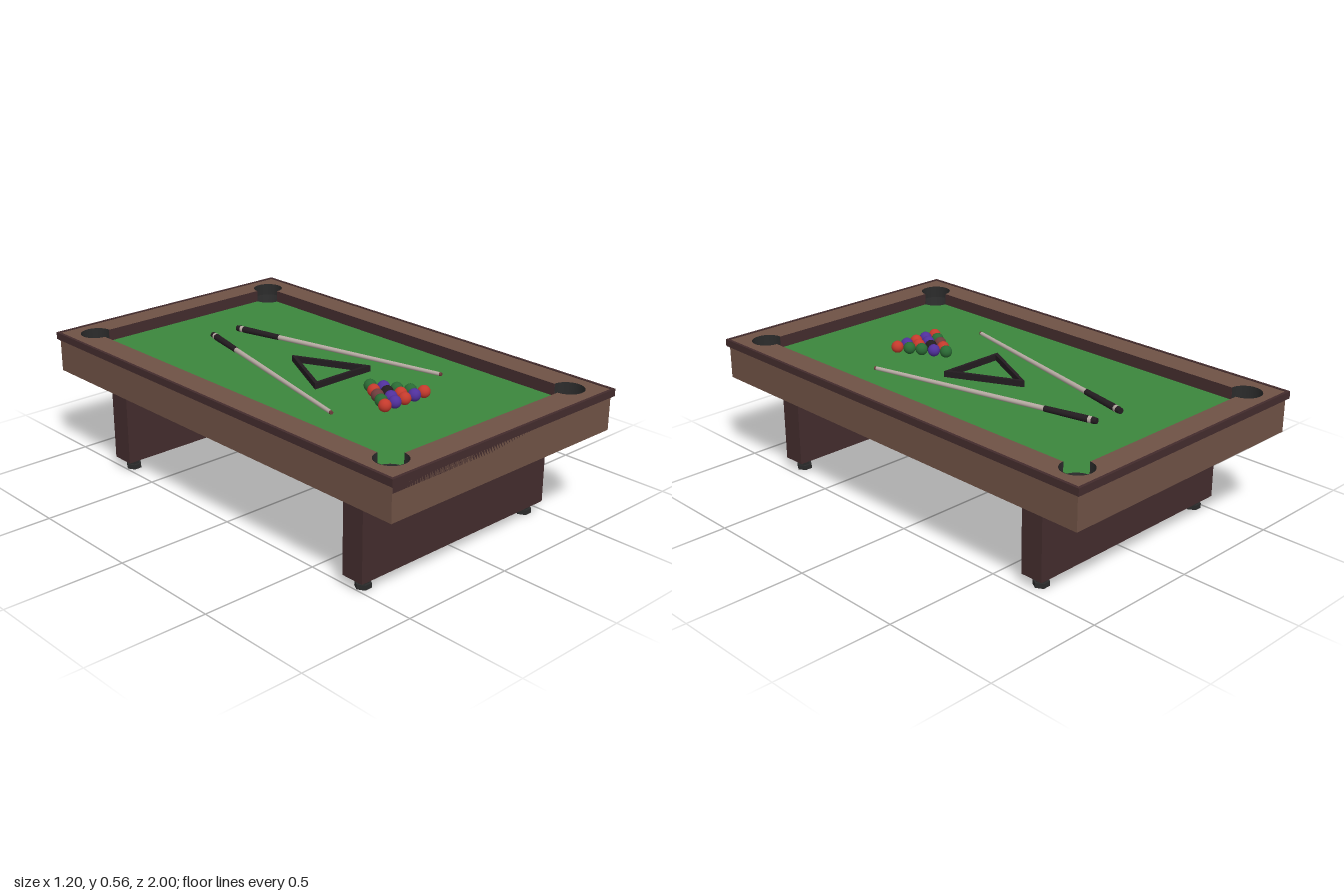
import * as THREE from 'three';

const mat = (name, color, side = THREE.FrontSide) => {
  const m = new THREE.MeshStandardMaterial({ color, side });
  m.name = name;
  return m;
};

export function createModel() {
  const root = new THREE.Group();
  root.name = 'poolTable';

  const brown = mat('brown wood', 0x6f5245);
  const dark = mat('dark wood', 0x432c2d);
  const felt = mat('green felt', 0x3c863d);
  const charcoal = mat('charcoal', 0x2b2b2b, THREE.DoubleSide);
  const black = mat('black', 0x231c20);
  const shaftMat = mat('pale shaft', 0xb5a9a1);
  const red = mat('red ball', 0xc43a2c);
  const purple = mat('purple ball', 0x50309c);
  const green = mat('green ball', 0x2a6a34);
  const maroon = mat('maroon ball', 0x6e3c3c);

  const add = (name, geo, material, x = 0, y = 0, z = 0, parent = root) => {
    const m = new THREE.Mesh(geo, material);
    m.name = name;
    m.position.set(x, y, z);
    parent.add(m);
    return m;
  };
  const rect = (Type, hx, hz) => new Type([[-hx, -hz], [hx, -hz], [hx, hz], [-hx, hz]]
    .map(([x, y]) => new THREE.Vector2(x, y)));
  // Extrudes a plan shape (shape y points to -z) upwards
  const slab = (shape, depth) => new THREE.ExtrudeGeometry(shape,
    { depth, bevelEnabled: false, curveSegments: 24 }).rotateX(-Math.PI / 2);

  const FELT_Y = 0.507, RAIL_Y = 0.557, R = 0.064;
  // Pocket centres in plan, counter-clockwise
  const pockets = [[0.478, 0.883], [-0.478, 0.883], [-0.478, -0.872], [0.478, -0.872]];

  // Apron and underside
  const apron = rect(THREE.Shape, 0.59, 0.988);
  apron.holes.push(rect(THREE.Path, 0.57, 0.968));
  add('apron', slab(apron, 0.14), brown, 0, 0.39, 0);
  add('underside', new THREE.BoxGeometry(1.16, 0.04, 1.95), brown, 0, 0.411, 0);

  // Rails: brown top, dark cushion face, round notches at the corners
  const rail = rect(THREE.Shape, 0.588, 0.988);
  const opening = new THREE.Path();
  pockets.forEach(([x, y], k) => {
    const start = (k - 1) * Math.PI / 2;
    opening.absarc(x, y, R + 0.001, start, start + 1.5 * Math.PI, false);
  });
  opening.closePath();
  rail.holes.push(opening);
  add('rails', slab(rail, RAIL_Y - 0.5), [brown, dark], 0, 0.5, 0);

  // Dark outer trim
  const trim = rect(THREE.Shape, 0.6, 1);
  trim.holes.push(rect(THREE.Path, 0.588, 0.988));
  add('outerTrim', slab(trim, 0.03), dark, 0, 0.53, 0);

  // Playing surface with pocket holes
  const bed = rect(THREE.Shape, 0.575, 0.975);
  pockets.forEach(([x, y]) => bed.holes.push(new THREE.Path().absarc(x, y, R, 0, Math.PI * 2, true)));
  add('playingSurface', new THREE.ShapeGeometry(bed, 24).rotateX(-Math.PI / 2), felt, 0, FELT_Y, 0);

  // Pocket liners and cups
  pockets.forEach(([x, y], k) => {
    const h = RAIL_Y + 0.001 - FELT_Y;
    add('pocketLiner', new THREE.CylinderGeometry(R, R, h, 32, 1, true, k * Math.PI / 2, 1.5 * Math.PI),
      charcoal, x, FELT_Y + h / 2, -y);
    add('pocketCup', new THREE.CylinderGeometry(R, 0.05, 0.045, 32, 1, true), charcoal, x, FELT_Y - 0.0225, -y);
    add('pocketFloor', new THREE.CircleGeometry(0.05, 32).rotateX(-Math.PI / 2), charcoal, x, FELT_Y - 0.045, -y);
  });

  // Slab legs on stepped feet
  for (const z of [0.73, -0.68]) {
    add('leg', new THREE.BoxGeometry(1, 0.343, 0.1), dark, -0.017, 0.2185, z);
    for (const x of [-0.462, 0.43]) {
      const foot = new THREE.Group();
      foot.name = 'foot';
      foot.position.set(x, 0, z);
      root.add(foot);
      for (const [name, r, y, h] of [['footBase', 0.033, 0.01, 0.02], ['footStem', 0.024, 0.034, 0.03]]) {
        const geo = new THREE.CylinderGeometry(r, r, h, 6, 1, false, Math.PI / 6).toNonIndexed();
        geo.computeVertexNormals();
        add(name, geo, charcoal, 0, y, 0, foot);
      }
    }
  }

  // Cues: tip at the front, wrapped grip at the back
  const cue = (tip, butt) => {
    const g = new THREE.Group();
    g.name = 'cue';
    const dir = new THREE.Vector3().subVectors(butt, tip);
    const len = dir.length();
    g.position.copy(tip);
    g.quaternion.setFromUnitVectors(new THREE.Vector3(0, 1, 0), dir.normalize());
    root.add(g);
    const part = (name, a, b, ra, rb, m) =>
      add(name, new THREE.CylinderGeometry(rb, ra, (b - a) * len, 16), m, 0, (a + b) / 2 * len, 0, g);
    part('cueTip', 0, 0.008, 0.007, 0.008, maroon);
    part('cueShaft', 0.008, 0.78, 0.008, 0.0105, shaftMat);
    part('cueGrip', 0.78, 0.965, 0.012, 0.014, black);
    part('cueRing', 0.965, 0.98, 0.0135, 0.0135, shaftMat);
    part('cueCap', 0.98, 1, 0.014, 0.012, black);
  };
  const cueY = FELT_Y + 0.014;
  cue(new THREE.Vector3(-0.292, cueY, 0.38), new THREE.Vector3(-0.062, cueY, -0.615));
  cue(new THREE.Vector3(0.305, cueY, 0.38), new THREE.Vector3(0.073, cueY, -0.615));

  // Triangle rack
  const tri = (Type, w, top, bottom) => new Type([[-w, bottom], [w, bottom], [0.003, top], [-0.003, top]]
    .map(([x, y]) => new THREE.Vector2(x, y)));
  const rack = tri(THREE.Shape, 0.151, 0.166, -0.136);
  rack.holes.push(tri(THREE.Path, 0.127, 0.134, -0.122));
  add('triangleRack', slab(rack, 0.025), black, -0.002, FELT_Y, 0);

  // Racked balls
  const rows = [
    [green],
    [red, purple],
    [maroon, black, green],
    [green, purple, red, green],
    [red, purple, red, purple, red],
  ];
  const ballGeo = new THREE.SphereGeometry(0.0255, 24, 16);
  rows.forEach((row, i) => row.forEach((m, j) =>
    add('ball', ballGeo, m, -0.009 + (j - i / 2) * 0.053, FELT_Y + 0.0255, 0.295 + i * 0.0464)));

  return root;
}
